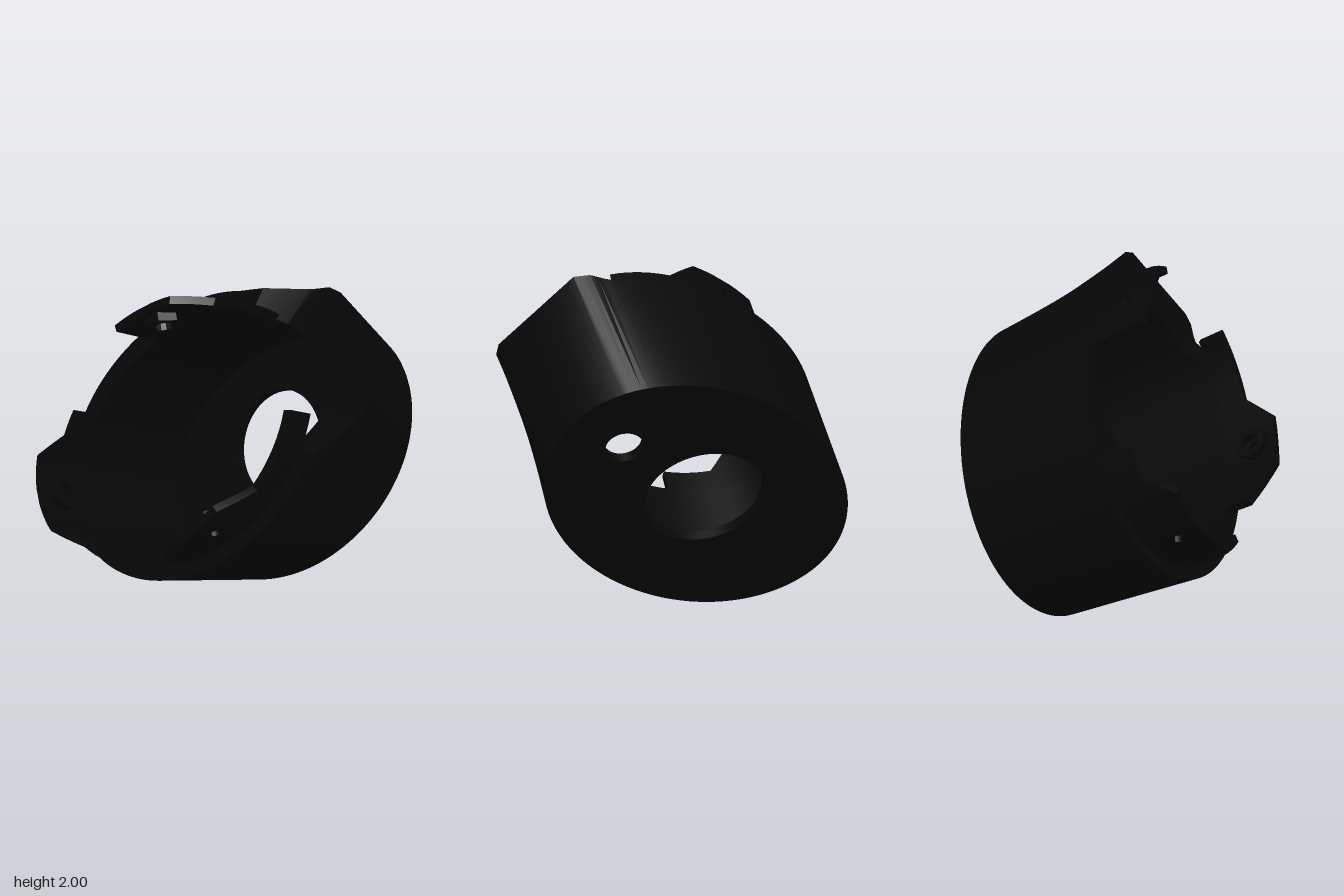
import * as THREE from 'three';
import { mergeGeometries, toCreasedNormals } from 'three/addons/utils/BufferGeometryUtils.js';

const CX = -0.07, CY = 0.92, R = Math.SQRT1_2;
const BACK = -0.155, FLOOR = -0.095, RIM = 0.685, SPOUT = 0.55;
const INNER = [0.895, 0.655];
const mat = new THREE.MeshStandardMaterial({ color: 0x070707 });
mat.name = 'black plastic';

// point from coordinates along the long (p) and short (q) axes of the oval
const place = (p, q, w) => new THREE.Vector3(CX + (p - q) * R, CY + (p + q) * R, w);
// oval that is slightly flatter (by k) on its upper side
const oval = (deg, a, b, w, k = 0.925) => {
  const t = THREE.MathUtils.degToRad(deg), q = b * Math.sin(t);
  return place(a * Math.cos(t), q > 0 ? q * k : q, w);
};
const lerp = THREE.MathUtils.lerp;

// back outline, with samples crowded so that the spout corners run straight back
function backPoint(deg, w) {
  const d = deg > 180 ? deg - 360 : deg, s = Math.abs(d) / 50;
  return oval(s < 1 ? 50 * Math.sign(d) * s ** 0.7 : d, 0.965, 0.74, w, 0.96);
}

// front outline: oval pulled out to a flat-ended spout around 0 degrees
function rimPoint(deg, w) {
  const d = deg > 180 ? deg - 360 : deg, s = Math.abs(d) / 50;
  if (s >= 1) return oval(deg, 1.005, 0.775, w);
  const [edge, corner] = d >= 0 ? [[1.165, 0.26], [1.11, 0.325]] : [[1.14, -0.31], [1.1, -0.37]];
  const tangent = d >= 0 ? [0.646, 0.549] : [0.646, -0.594];
  const [from, to, k] = s <= 0.3 ? [[1.152, -0.025], edge, s / 0.3]
    : s <= 0.4 ? [edge, corner, (s - 0.3) / 0.1] : [corner, tangent, (s - 0.4) / 0.6];
  return place(lerp(from[0], to[0], k), lerp(from[1], to[1], k), w);
}

// the rim dips at the spout
function rimHeight(deg) {
  const d = Math.min(deg, 360 - deg);
  return lerp(SPOUT, RIM, THREE.MathUtils.clamp((d - 27) / 13, 0, 1));
}

// side wall: outer skin, rim and inner skin as one loft
function wallGeometry() {
  const pos = [], idx = [], N = 144, M = 4;
  for (let i = 0; i <= N; i++) {
    const deg = i * 360 / N % 360, h = rimHeight(deg);
    [backPoint(deg, BACK), rimPoint(deg, h),
      oval(deg, ...INNER, h), oval(deg, ...INNER, FLOOR)].forEach(p => pos.push(p.x, p.y, p.z));
  }
  for (let i = 0; i < N; i++) for (let j = 0; j < M - 1; j++) {
    const a = i * M + j, b = a + M;
    idx.push(a, b, b + 1, a, b + 1, a + 1);
  }
  const g = new THREE.BufferGeometry();
  g.setAttribute('position', new THREE.Float32BufferAttribute(pos, 3));
  g.setIndex(idx);
  return toCreasedNormals(g, 0.5);
}

// back plate with the large and the small opening
function plateGeometry() {
  const pts = [];
  for (let i = 0; i < 144; i++) {
    const p = backPoint(i * 2.5, 0);
    pts.push(new THREE.Vector2(p.x, p.y));
  }
  const shape = new THREE.Shape(pts);
  for (const [x, y, r] of [[-0.077, 0.95, 0.328], [0.383, 1.366, 0.098]]) {
    shape.holes.push(new THREE.Path().absarc(x, y, r, 0, Math.PI * 2, true));
  }
  const g = new THREE.ExtrudeGeometry(shape, { depth: FLOOR - BACK, bevelEnabled: false, curveSegments: 40 });
  g.translate(0, 0, BACK);
  return toCreasedNormals(g, 0.5);
}

// raised collar piece: profile of [degrees, height], cut in slices and bent round the oval
function collarGeometry(profile, hole) {
  const height = d => {
    for (let i = 1; i < profile.length; i++) {
      const [d0, h0] = profile[i - 1], [d1, h1] = profile[i];
      if (d <= d1) return lerp(h0, h1, (d - d0) / (d1 - d0));
    }
    return profile[profile.length - 1][1];
  };
  const marks = [...profile.map(p => p[0]), hole - 4, hole + 4].sort((a, b) => a - b);
  const slices = [];
  for (let i = 1; i < marks.length; i++) {
    const n = marks[i - 1] === hole - 4 ? 1 : Math.ceil((marks[i] - marks[i - 1]) / 4);
    for (let k = 0; k < n; k++) {
      const a = lerp(marks[i - 1], marks[i], k / n), b = lerp(marks[i - 1], marks[i], (k + 1) / n);
      const s = new THREE.Shape([[a, 0.68], [b, 0.68], [b, height(b)], [a, height(a)]]
        .map(p => new THREE.Vector2(...p)));
      if (a === hole - 4) s.holes.push(new THREE.Path().absellipse(hole, 0.86, 2.1, 0.03, 0, Math.PI * 2, true));
      const g = new THREE.ExtrudeGeometry(s, { depth: 1, bevelEnabled: false, curveSegments: 8 });
      const p = g.attributes.position;
      for (let v = 0; v < p.count; v++) {
        const d = 0.045 * p.getZ(v);
        const q = oval(p.getX(v), INNER[0] + d, INNER[1] + d, p.getY(v));
        p.setXYZ(v, q.x, q.y, q.z);
      }
      slices.push(g);
    }
  }
  return toCreasedNormals(mergeGeometries(slices), 0.4);
}

// hexagonal nut seat on the inside of a tab
function nutSeat(deg) {
  const s = new THREE.Shape();
  for (let i = 0; i < 6; i++) {
    const a = i * Math.PI / 3;
    s[i ? 'lineTo' : 'moveTo'](0.105 * Math.cos(a), 0.105 * Math.sin(a));
  }
  s.holes.push(new THREE.Path().absarc(0, 0, 0.055, 0, Math.PI * 2, true));
  const g = new THREE.ExtrudeGeometry(s, { depth: 0.06, bevelEnabled: false, curveSegments: 6 });
  const m = new THREE.Mesh(g, mat);
  const tangent = oval(deg + 1, ...INNER, 0).sub(oval(deg - 1, ...INNER, 0)).normalize();
  const up = new THREE.Vector3(0, 0, 1), out = tangent.clone().cross(up);
  m.quaternion.setFromRotationMatrix(new THREE.Matrix4().makeBasis(tangent, up, out));
  m.position.copy(oval(deg, ...INNER, 0.86)).addScaledVector(out, -0.05);
  return m;
}

export function createModel() {
  const model = new THREE.Group();
  model.name = 'tiltedHousing';
  const add = (name, geometry) => {
    const m = new THREE.Mesh(geometry, mat);
    m.name = name;
    model.add(m);
  };
  add('sideWall', wallGeometry());
  add('backPlate', plateGeometry());

  // three collar pieces, each with a taller screw tab
  const LOW = 0.837, HIGH = 1;
  const collars = [
    ['upperCollar', [[26, LOW], [51, LOW], [63, HIGH], [91, HIGH]], 76],
    ['lowerRightCollar', [[134, LOW], [146, LOW], [157, HIGH], [198, HIGH], [209, LOW], [232, LOW]], 178],
    ['lowerLeftCollar', [[255, LOW], [270, HIGH], [291, HIGH], [302, LOW], [334, LOW]], 280.5],
  ];
  for (const [name, profile, hole] of collars) {
    add(name, collarGeometry(profile, hole));
    const nut = nutSeat(hole);
    nut.name = name + 'NutSeat';
    model.add(nut);
  }

  // lean the whole housing back
  model.rotation.x = -THREE.MathUtils.degToRad(24);
  const root = new THREE.Group();
  root.name = 'housing';
  root.add(model);
  return root;
}
